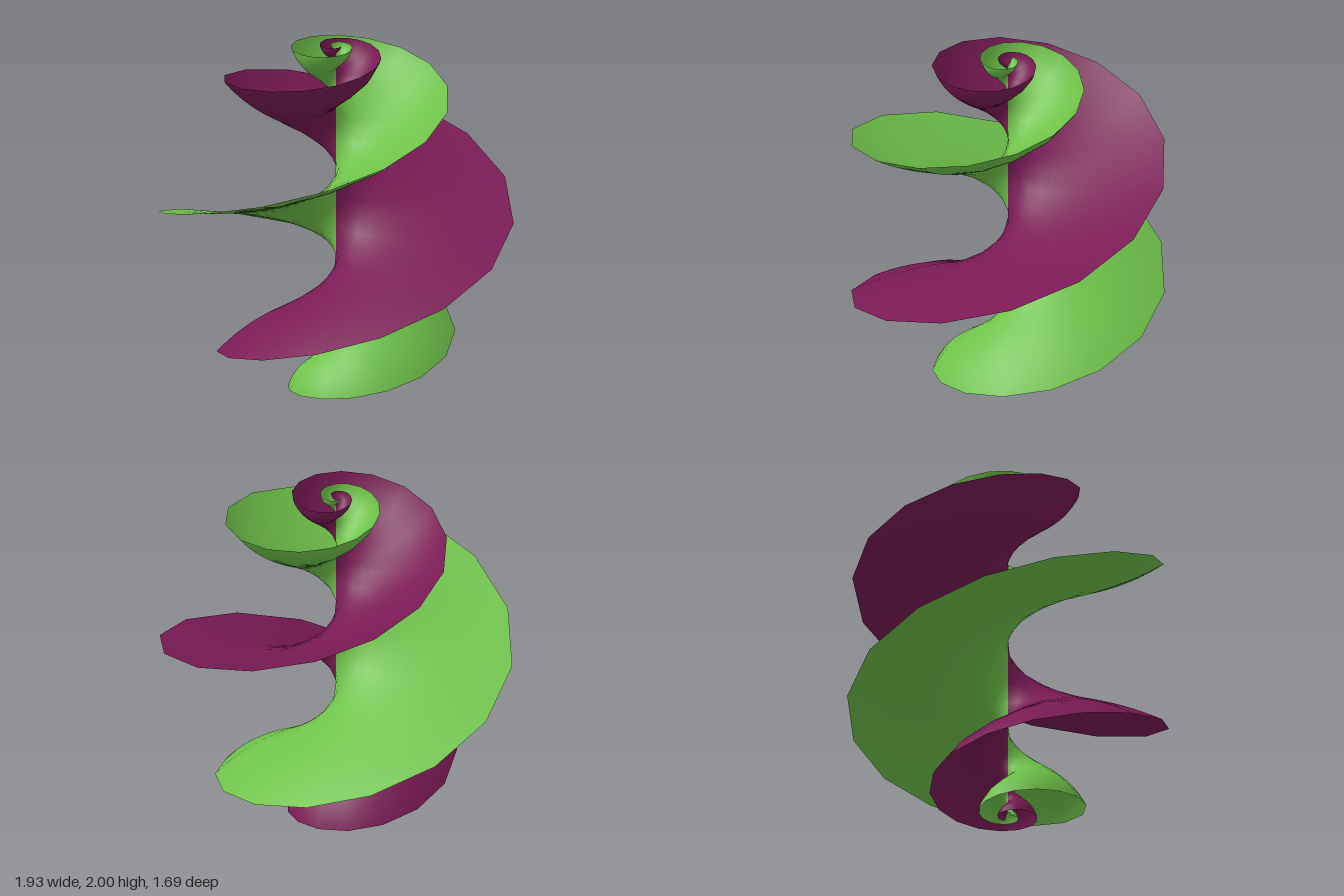
import * as THREE from 'three';
import { ParametricGeometry } from 'three/addons/geometries/ParametricGeometry.js';

const EXTENT = 4; // parameter range along the axis and outwards
const TWIST = 3; // turn in radians per unit along the axis
const SCALE = 1.002;

// Hyperbolic helicoid: u runs up the axis, v runs outwards from it
function helicoidPoint(u, v, target) {
  const d = 1 + Math.cosh(u) * Math.cosh(v);
  const r = (SCALE * Math.sinh(v)) / d;
  const h = (SCALE * Math.cosh(v) * Math.sinh(u)) / d;
  target.set(r * Math.cos(TWIST * u), 1 + h, -r * Math.sin(TWIST * u));
}

// One blade spans from the axis to the outer spiral edge
function makeBlade(name, side, color) {
  const geometry = new ParametricGeometry((s, t, target) => {
    helicoidPoint((2 * s - 1) * EXTENT, side * t * EXTENT, target);
  }, 60, 30);
  const material = new THREE.MeshStandardMaterial({ color, side: THREE.DoubleSide });
  const mesh = new THREE.Mesh(geometry, material);
  mesh.name = name;
  return mesh;
}

export function createModel() {
  const group = new THREE.Group();
  group.name = 'hyperbolicHelicoid';
  group.add(makeBlade('leftBlade', 1, 0x7a1a55));
  group.add(makeBlade('rightBlade', -1, 0x6fc24a));
  return group;
}
